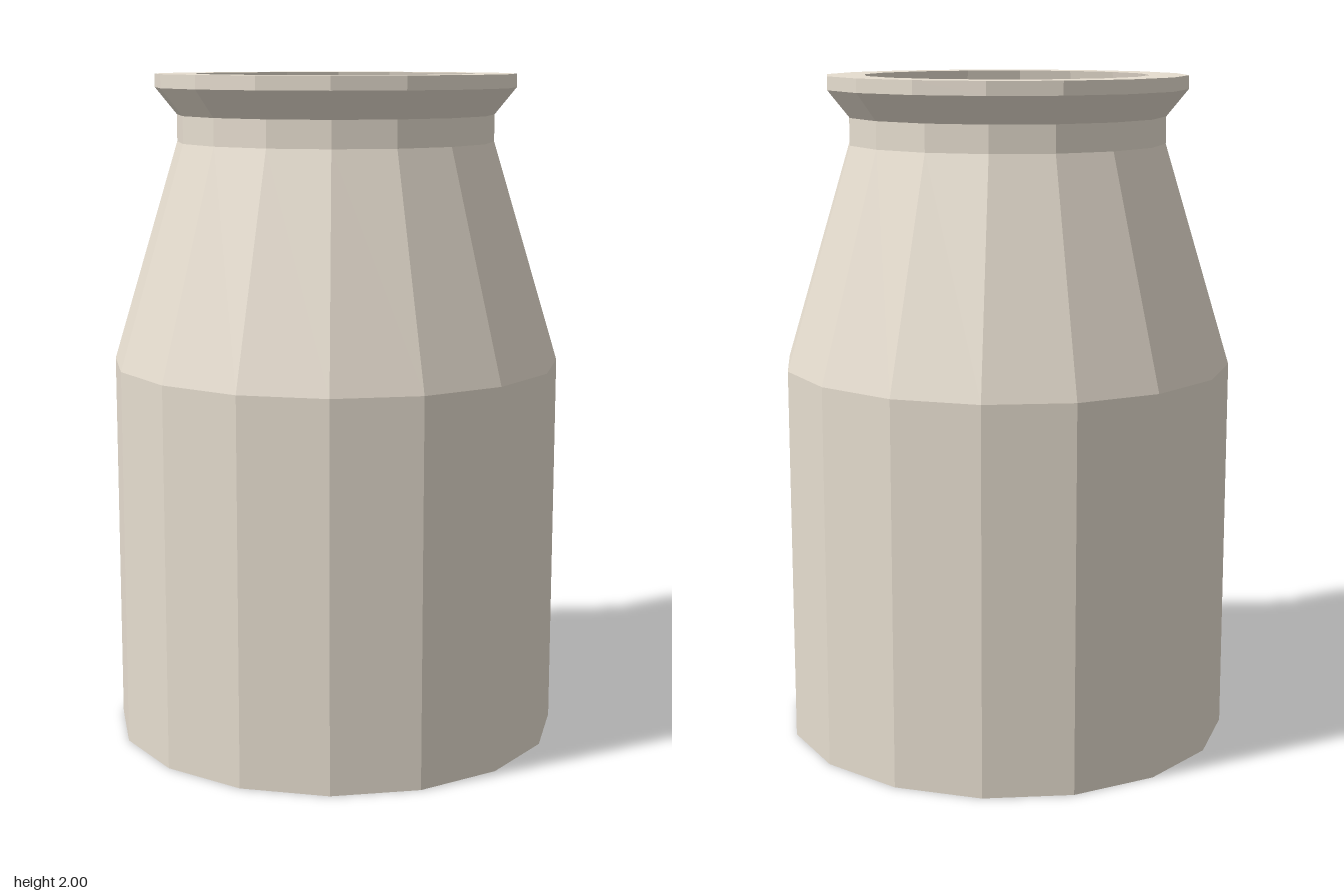
import * as THREE from 'three';

const clay = new THREE.MeshStandardMaterial({ color: 0xe6ddcf });
clay.name = 'pale clay';
const yellow = new THREE.MeshStandardMaterial({ color: 0xe6d808 });
yellow.name = 'yellow filling';

// Faceted solid of revolution from [radius, height] pairs
function facetedLathe(profile, sides) {
  const points = profile.map(([r, y]) => new THREE.Vector2(r, y));
  const geometry = new THREE.LatheGeometry(points, sides).toNonIndexed();
  geometry.computeVertexNormals();
  return geometry;
}

function addMesh(parent, name, geometry, material) {
  const mesh = new THREE.Mesh(geometry, material);
  mesh.name = name;
  parent.add(mesh);
  return mesh;
}

// Token with a raised rim and a mirrored angular hook ornament
function createToken() {
  const token = new THREE.Group();
  token.name = 'token';
  addMesh(token, 'tokenDisc', facetedLathe(
    [[0.13, 0], [0.13, 0.022], [0.112, 0.022], [0.112, 0.008], [0, 0.008]], 12), clay);
  const bars = [ // x, z, width, depth
    [0.045, -0.05, 0.062, 0.014], [0.07, -0.022, 0.014, 0.07],
    [0.045, 0.006, 0.062, 0.014], [0.021, -0.009, 0.014, 0.03],
    [0.035, 0.045, 0.05, 0.014], [0.017, 0.06, 0.014, 0.035],
  ];
  for (const side of [-1, 1]) {
    for (const [x, z, w, d] of bars) {
      const bar = addMesh(token, 'tokenRelief', new THREE.BoxGeometry(w, 0.016, d), clay);
      bar.position.set(side * x, 0.014, z);
    }
  }
  return token;
}

export function createModel() {
  const model = new THREE.Group();
  model.name = 'jar';
  const level = 1.12;
  const fillRadius = 0.61;

  // Jar: base, body, shoulder, neck, flared lip, then the inner wall down to the filling
  addMesh(model, 'jarBody', facetedLathe([
    [0, 0], [0.675, 0], [0.675, 1.14], [0.475, 1.8], [0.475, 1.88],
    [0.54, 1.96], [0.54, 2], [0.425, 2], [fillRadius, level],
  ], 16), clay);

  // Flat surface of the filling
  addMesh(model, 'filling', facetedLathe([[fillRadius, level], [0, level]], 16), yellow);

  // Tokens lying on the filling, some run into each other: x, z, turn
  const places = [
    [0.13, -0.24, -0.45], [0.12, -0.43, -0.2], [-0.205, -0.015, -0.3],
    [-0.335, -0.125, -0.45], [0.34, 0.015, -0.1], [-0.03, 0.275, -0.45],
  ];
  for (const [x, z, turn] of places) {
    const token = createToken();
    token.position.set(x, level, z);
    token.rotation.y = turn;
    model.add(token);
  }

  return model;
}
